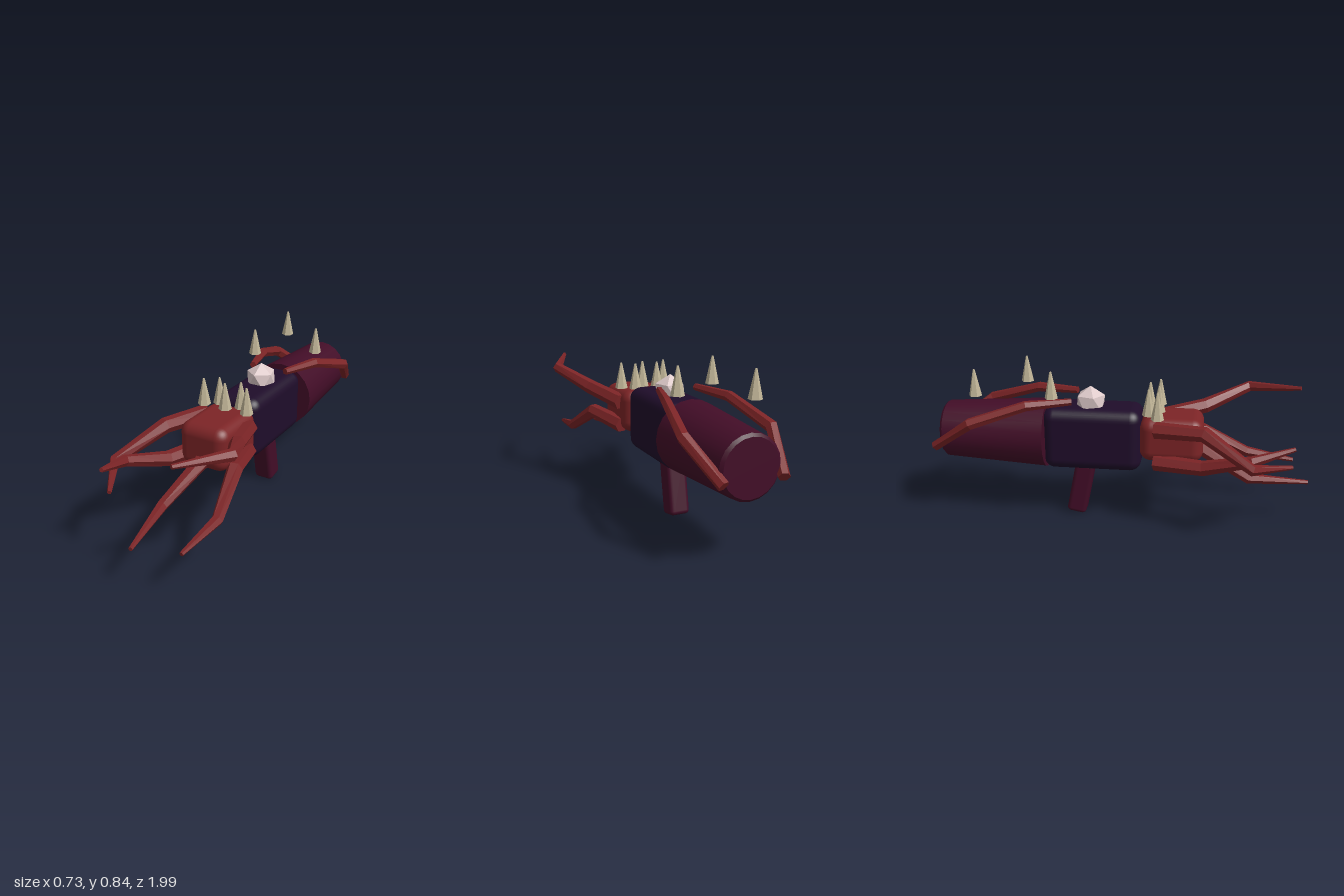
import * as THREE from 'three';
import { RoundedBoxGeometry } from 'three/addons/geometries/RoundedBoxGeometry.js';

const mat = (name, color, flatShading = false) => {
  const m = new THREE.MeshStandardMaterial({ color, flatShading });
  m.name = name;
  return m;
};

// Six-sided tapered limb with mitred joints; each point is [x, y, z, radius]
function limbGeometry(points, sides = 6) {
  const p = points.map(a => new THREE.Vector3(a[0], a[1], a[2]));
  const n = p.length, pos = [], idx = [];
  const up = new THREE.Vector3(0, 1, 0);
  for (let i = 0; i < n; i++) {
    const dir = p[Math.min(i + 1, n - 1)].clone().sub(p[Math.max(i - 1, 0)]).normalize();
    const u = new THREE.Vector3().crossVectors(up, dir).normalize();
    const v = new THREE.Vector3().crossVectors(dir, u);
    for (let k = 0; k < sides; k++) {
      const a = (k / sides) * Math.PI * 2;
      const q = p[i].clone().addScaledVector(u, Math.cos(a) * points[i][3]).addScaledVector(v, Math.sin(a) * points[i][3]);
      pos.push(q.x, q.y, q.z);
    }
  }
  for (let i = 0; i < n - 1; i++) {
    for (let k = 0; k < sides; k++) {
      const a = i * sides + k, b = i * sides + (k + 1) % sides;
      idx.push(a, b, b + sides, a, b + sides, a + sides);
    }
  }
  const last = (n - 1) * sides;
  for (let k = 1; k < sides - 1; k++) {
    idx.push(0, k + 1, k, last, last + k, last + k + 1);
  }
  const g = new THREE.BufferGeometry();
  g.setAttribute('position', new THREE.Float32BufferAttribute(pos, 3));
  g.setIndex(idx);
  g.computeVertexNormals();
  return g;
}

export function createModel() {
  const root = new THREE.Group();
  const flesh = mat('redFlesh', 0x7c2426);
  const limb = mat('redLimb', 0x7c2426, true);
  const dark = mat('darkPurple', 0x1f0d2a);
  const maroon = mat('maroon', 0x420d27);
  const bone = mat('bone', 0xc2b698, true);
  const pearl = mat('palePearl', 0xdcc8c8, true);

  const add = (name, geo, material, x = 0, y = 0, z = 0) => {
    const m = new THREE.Mesh(geo, material);
    m.name = name;
    m.position.set(x, y, z);
    root.add(m);
    return m;
  };

  // Main housing, front head and rear barrel
  add('body', new RoundedBoxGeometry(0.25, 0.335, 0.52, 4, 0.06), dark, 0, 0.453, -0.145);
  add('head', new RoundedBoxGeometry(0.27, 0.235, 0.33, 4, 0.06), flesh, 0, 0.472, 0.272);
  const barrel = new THREE.CylinderGeometry(0.185, 0.152, 0.545, 20);
  barrel.rotateX(Math.PI / 2);
  add('rearBarrel', barrel, maroon, 0, 0.455, -0.665);
  const lip = new THREE.CylinderGeometry(0.152, 0.138, 0.014, 20);
  lip.rotateX(Math.PI / 2);
  add('rearLip', lip, maroon, 0, 0.455, -0.9445);

  // Slanted grip
  const grip = add('grip', new RoundedBoxGeometry(0.11, 0.3, 0.105, 3, 0.022), maroon, 0, 0.15, -0.217);
  grip.rotation.x = 0.19;

  // Faceted orb with one corner straight up
  const orb = new THREE.IcosahedronGeometry(0.085, 0);
  orb.rotateX(-Math.atan2((1 + Math.sqrt(5)) / 2, 1));
  add('orb', orb, pearl, 0, 0.638, -0.16);

  // Bone spikes: two rows on the head, three hovering over the barrel
  const spike = new THREE.CylinderGeometry(0.005, 0.034, 0.138, 6);
  for (const [x, z] of [[-0.128, 0.2], [-0.003, 0.2], [0.122, 0.2], [-0.066, 0.15], [0.06, 0.15]]) {
    add('headSpike', spike, bone, x, 0.665, z);
  }
  for (const [x, z] of [[-0.142, -0.735], [0.14, -0.53], [-0.142, -0.34]]) {
    add('hoverSpike', spike, bone, x, 0.764, z);
  }

  // Front claws
  const claws = {
    upperLeftClaw: [[0.13, 0.52, 0.19], [0.215, 0.565, 0.44], [0.335, 0.648, 0.68], [0.21, 0.682, 0.945]],
    lowerLeftClaw: [[0.125, 0.39, 0.19], [0.2, 0.425, 0.44], [0.252, 0.29, 0.68], [0.235, 0.258, 0.94]],
    middleClaw: [[0.01, 0.37, 0.19], [0, 0.4, 0.43], [-0.06, 0.265, 0.68], [0, 0.232, 0.995]],
    lowerRightClaw: [[-0.125, 0.36, 0.19], [-0.195, 0.37, 0.44], [-0.27, 0.45, 0.68], [-0.23, 0.51, 0.885]],
    upperRightClaw: [[-0.13, 0.54, 0.19], [-0.2, 0.555, 0.44], [-0.333, 0.432, 0.68], [-0.2, 0.4, 0.88]],
  };
  const radii = [0.044, 0.04, 0.029, 0.011];
  for (const [name, pts] of Object.entries(claws)) {
    add(name, limbGeometry(pts.map((q, i) => [...q, radii[i]])), limb);
  }

  // Rear arms wrapping the barrel, mirrored
  for (const s of [1, -1]) {
    add(s > 0 ? 'leftRearArm' : 'rightRearArm', limbGeometry([
      [0.1 * s, 0.665, -0.245, 0.018],
      [0.165 * s, 0.655, -0.47, 0.027],
      [0.222 * s, 0.565, -0.755, 0.031],
      [0.147 * s, 0.405, -0.975, 0.028],
    ]), limb);
  }
  return root;
}
